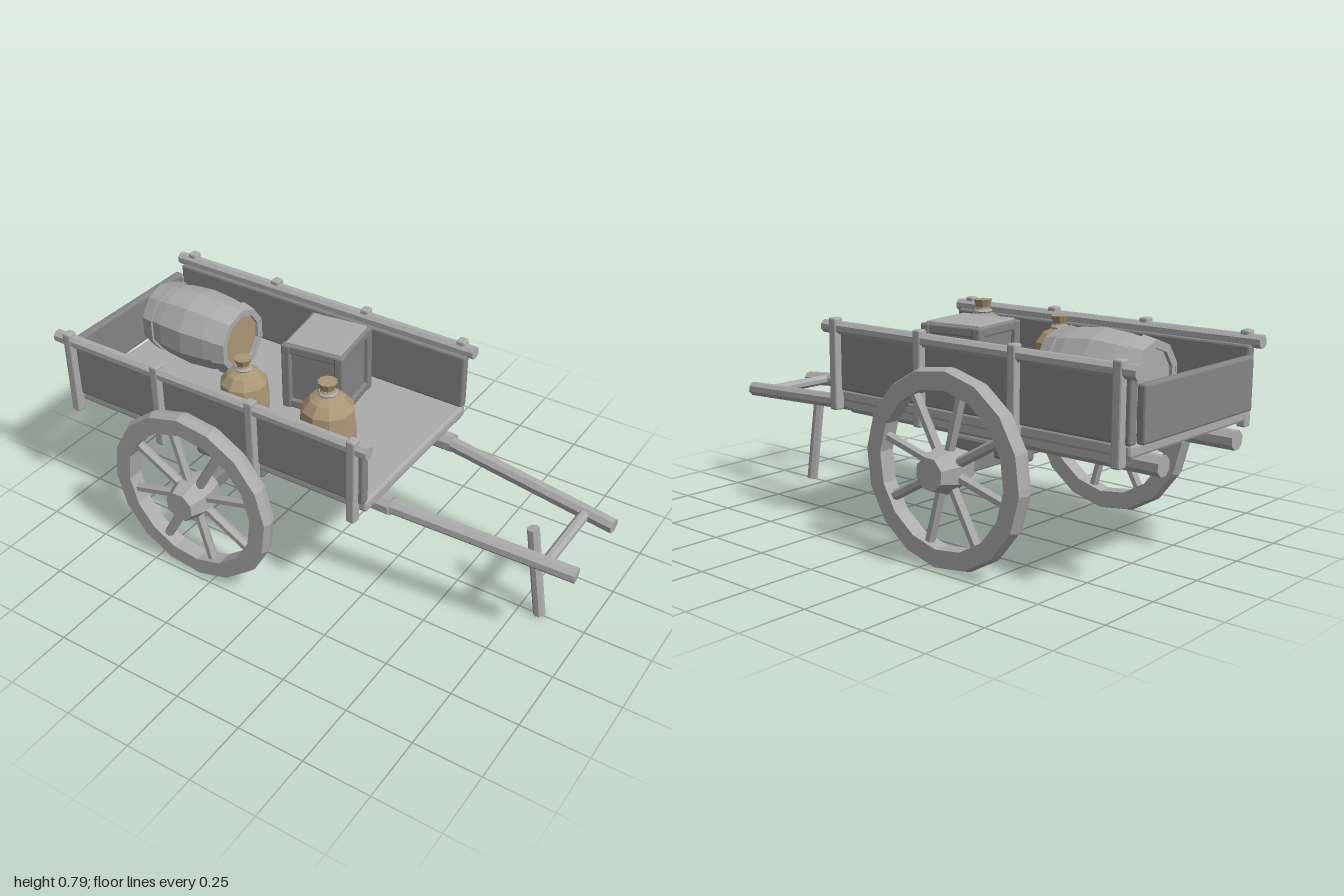
import * as THREE from 'three';
import { RoundedBoxGeometry } from 'three/addons/geometries/RoundedBoxGeometry.js';

const paint = (color) => new THREE.MeshStandardMaterial({ color, flatShading: true });
const timber = paint(0xacacac);
const boards = paint(0x858585);
const clay = paint(0xaa9676);

function add(parent, name, geometry, material = timber) {
  const mesh = new THREE.Mesh(geometry, material);
  mesh.name = name;
  parent.add(mesh);
  return mesh;
}

// Chamfered box centred on a point
function box(parent, name, [w, h, d], [x, y, z], bevel = 0.006, material = timber) {
  const mesh = add(parent, name, new RoundedBoxGeometry(w, h, d, 1, bevel), material);
  mesh.position.set(x, y, z);
}

// Straight faceted rod between two points
function rod(parent, name, from, to, radius, sides = 8) {
  const a = new THREE.Vector3(...from), b = new THREE.Vector3(...to);
  const dir = b.clone().sub(a);
  const geometry = new THREE.CylinderGeometry(radius, radius, dir.length(), sides);
  geometry.rotateY(Math.PI / sides);
  const mesh = add(parent, name, geometry);
  mesh.position.copy(a).add(b).multiplyScalar(0.5);
  mesh.quaternion.setFromUnitVectors(new THREE.Vector3(0, 1, 0), dir.normalize());
}

function lathe(points, sides) {
  return new THREE.LatheGeometry(points.map(([r, y]) => new THREE.Vector2(r, y)), sides);
}

function group(parent, name, x, y, z) {
  const g = new THREE.Group();
  g.name = name;
  g.position.set(x, y, z);
  parent.add(g);
  return g;
}

// Wheel: ridged rim, biconic hub and eight spokes
function buildWheel(parent, name, z) {
  const wheel = group(parent, name, -0.331, 0.342, z);
  wheel.rotation.z = THREE.MathUtils.degToRad(4);
  const rim = lathe([[0.268, -0.03], [0.33, -0.03], [0.34, 0], [0.33, 0.03],
    [0.268, 0.03], [0.268, -0.03]], 16);
  add(wheel, 'rim', rim.rotateX(Math.PI / 2));
  const hub = lathe([[0, -0.08], [0.057, -0.08], [0.076, -0.025], [0.076, 0.025],
    [0.057, 0.08], [0, 0.08]], 8);
  add(wheel, 'hub', hub.rotateY(Math.PI / 8).rotateX(Math.PI / 2));
  for (let i = 0; i < 8; i++) {
    const a = (i + 0.25) * Math.PI / 4, c = Math.cos(a), s = Math.sin(a);
    rod(wheel, 'spoke', [c * 0.05, s * 0.05, 0], [c * 0.28, s * 0.28, 0], 0.018, 6);
  }
}

function buildBarrel(parent) {
  const barrel = group(parent, 'barrel', -0.68, 0.651, -0.077);
  barrel.rotation.z = Math.PI / 2;
  const turned = (points) => lathe(points, 10).rotateY(Math.PI / 10);
  // Bulging staves with recessed ends
  add(barrel, 'staves', turned([[0.1, -0.17], [0.1, -0.188], [0.118, -0.188], [0.137, -0.1],
    [0.146, 0], [0.137, 0.1], [0.118, 0.188], [0.1, 0.188], [0.1, 0.17]]));
  for (const s of [-1, 1]) {
    const hoop = turned([[0.116, -0.19], [0.126, -0.19], [0.138, -0.14], [0.122, -0.14]]);
    if (s > 0) hoop.rotateX(Math.PI);
    add(barrel, 'hoop', hoop);
    const disc = new THREE.CylinderGeometry(0.104, 0.104, 0.012, 10).rotateY(Math.PI / 10);
    add(barrel, 'lid', disc, s < 0 ? clay : timber).position.y = s * 0.17;
  }
}

function buildCrate(parent) {
  const crate = group(parent, 'crate', -0.145, 0.505, -0.123);
  crate.rotation.y = 0.13;
  box(crate, 'cratePanels', [0.21, 0.25, 0.222], [0, 0.13, 0], 0.006, boards);
  box(crate, 'crateLid', [0.215, 0.012, 0.225], [0, 0.263, 0], 0.004);
  for (const x of [-1, 1]) for (const z of [-1, 1]) {
    box(crate, 'cratePost', [0.035, 0.262, 0.035], [x * 0.104, 0.131, z * 0.111], 0.006, boards);
  }
  for (const s of [-1, 1]) for (const y of [0.018, 0.245]) {
    box(crate, 'crateRail', [0.19, 0.034, 0.028], [0, y, s * 0.111], 0.006, boards);
    box(crate, 'crateRail', [0.028, 0.034, 0.2], [s * 0.104, y, 0], 0.006, boards);
  }
}

function buildJug(parent, name, x, z, scale) {
  const jug = group(parent, name, x, 0.505, z);
  jug.scale.setScalar(scale);
  add(jug, 'jugBody', lathe([[0, 0], [0.075, 0], [0.098, 0.045], [0.102, 0.105], [0.094, 0.19],
    [0.065, 0.225], [0.034, 0.24], [0.024, 0.262], [0.035, 0.291], [0, 0.291]], 10), clay);
  const tie = add(jug, 'neckTie', new THREE.TorusGeometry(0.028, 0.008, 5, 10).rotateX(Math.PI / 2));
  tie.position.y = 0.248;
}

export function createModel() {
  const cart = new THREE.Group();
  cart.name = 'handcart';

  // Bed and tail board
  box(cart, 'floor', [1.27, 0.045, 0.67], [-0.325, 0.482, 0], 0.01);
  box(cart, 'tailBoard', [0.032, 0.185, 0.63], [-0.977, 0.597, 0], 0.008, boards);

  // Axle
  box(cart, 'axle', [0.055, 0.055, 0.8], [-0.331, 0.342, 0], 0.006, boards);

  for (const s of [-1, 1]) {
    buildWheel(cart, s > 0 ? 'frontWheel' : 'backWheel', s * 0.457);

    // Side wall with rail and posts
    box(cart, 'sidePanel', [1.28, 0.215, 0.036], [-0.33, 0.612, s * 0.337], 0.008, boards);
    rod(cart, 'topRail', [-0.998, 0.73, s * 0.357], [0.333, 0.73, s * 0.357], 0.024);
    for (const x of [-0.935, -0.535, -0.13, 0.275]) {
      box(cart, 'sidePost', [0.034, 0.33, 0.038], [x, 0.6, s * 0.363]);
    }

    // Chassis beam, axle bracket and pulling shaft
    rod(cart, 'chassisBeam', [-0.999, 0.424, s * 0.216], [0.34, 0.424, s * 0.216], 0.035);
    box(cart, 'axleBracket', [0.3, 0.058, 0.065], [-0.33, 0.37, s * 0.217], 0.012, boards);
    rod(cart, 'pullingShaft', [0.29, 0.425, s * 0.217], [0.998, 0.377, s * 0.148], 0.028);
  }

  // Cross handle and prop leg
  rod(cart, 'crossHandle', [0.89, 0.386, -0.17], [0.89, 0.386, 0.17], 0.02);
  rod(cart, 'propLeg', [0.77, 0.37, 0], [0.828, 0.006, 0], 0.022);

  // Cargo
  buildBarrel(cart);
  buildCrate(cart);
  buildJug(cart, 'smallJug', -0.305, 0.167, 0.91);
  buildJug(cart, 'largeJug', 0.047, 0.163, 1);

  return cart;
}
